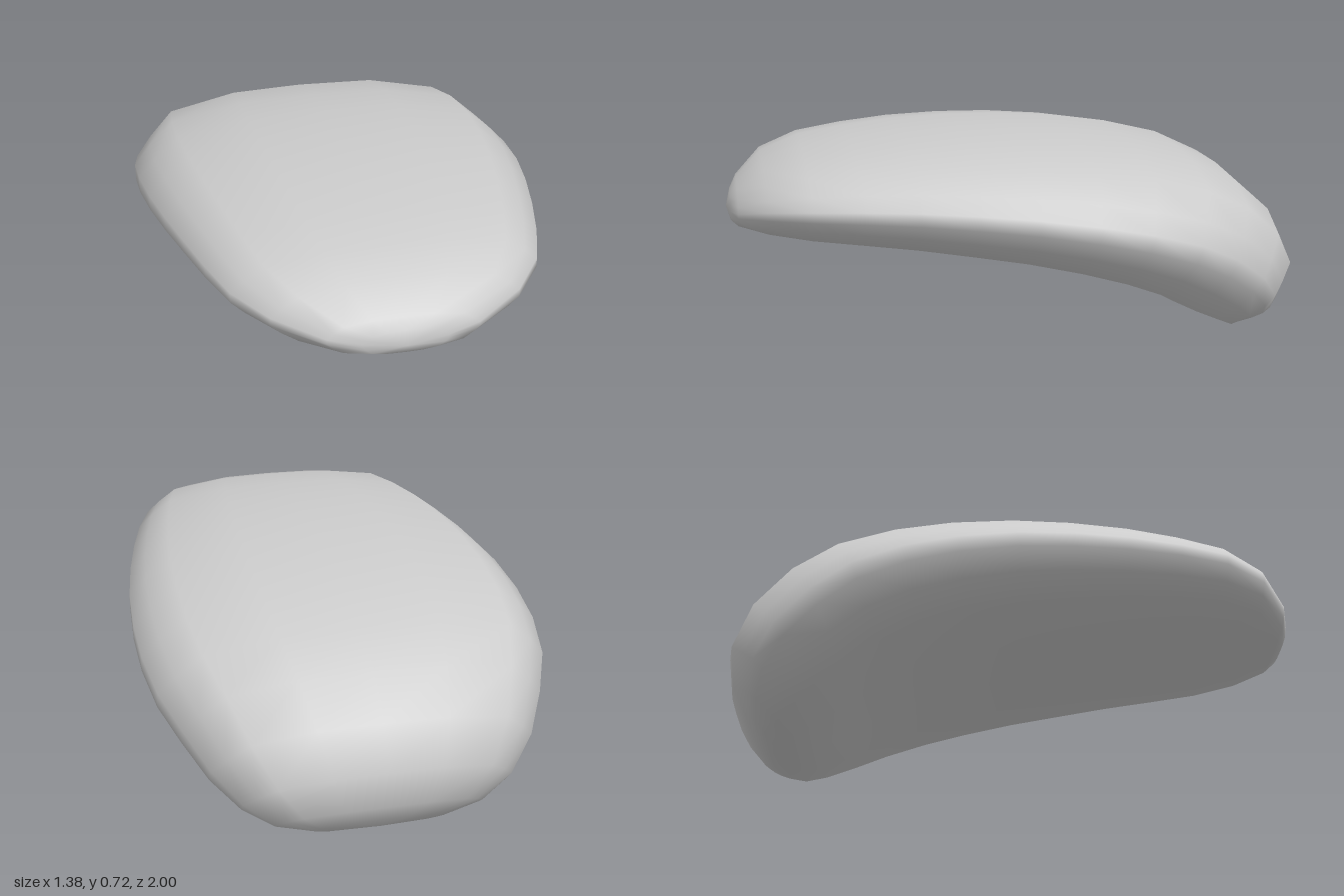
import * as THREE from 'three';

// Stations from nose to tail: half width, top edge (y, z), bottom edge (y, z)
const STATIONS = [
  [0.14, 0.515, 0.985, 0.435, 0.985],
  [0.25, 0.55, 0.96, 0.43, 0.96],
  [0.41, 0.63, 0.87, 0.42, 0.86],
  [0.515, 0.677, 0.73, 0.407, 0.72],
  [0.57, 0.70, 0.56, 0.392, 0.56],
  [0.615, 0.716, 0.38, 0.372, 0.38],
  [0.655, 0.721, 0.18, 0.345, 0.2],
  [0.685, 0.716, -0.02, 0.315, 0.02],
  [0.70, 0.70, -0.23, 0.272, -0.16],
  [0.698, 0.672, -0.43, 0.225, -0.31],
  [0.672, 0.625, -0.63, 0.165, -0.45],
  [0.615, 0.55, -0.79, 0.10, -0.56],
  [0.545, 0.43, -0.925, 0.045, -0.66],
  [0.455, 0.29, -0.998, 0.012, -0.73],
  [0.35, 0.16, -0.985, 0.004, -0.79],
  [0.22, 0.085, -0.935, 0.01, -0.85],
];

// Right half of the chamfered cross-section, bottom to top, in units of half size
const HALF = [
  [0, -1], [0.4, -0.97], [0.77, -0.8], [0.9, -0.45], [0.985, -0.13],
  [0.985, 0.13], [0.9, 0.42], [0.77, 0.77], [0.4, 0.97], [0, 1],
];
const SECTION = [...HALF, ...HALF.slice(1, -1).reverse().map(([x, k]) => [-x, k])];

function paddedShell() {
  const around = SECTION.length;
  const positions = [];
  const index = [];

  // Rings that tilt with the curve of the body
  for (const [width, topY, topZ, bottomY, bottomZ] of STATIONS) {
    for (const [x, k] of SECTION) {
      const t = (k + 1) / 2;
      positions.push(
        width * x,
        THREE.MathUtils.lerp(bottomY, topY, t),
        THREE.MathUtils.lerp(bottomZ, topZ, t)
      );
    }
  }
  for (let i = 0; i < STATIONS.length - 1; i++) {
    for (let j = 0; j < around; j++) {
      const a = i * around + j;
      const b = i * around + ((j + 1) % around);
      const c = a + around;
      const d = b + around;
      index.push(a, c, b, b, c, d);
    }
  }

  // Close the nose and the tail
  const nose = positions.length / 3;
  const last = (STATIONS.length - 1) * around;
  positions.push(0, 0.468, 1.0, 0, 0.04, -0.9);
  for (let j = 0; j < around; j++) {
    const n = (j + 1) % around;
    index.push(nose, j, n);
    index.push(nose + 1, last + n, last + j);
  }

  const geometry = new THREE.BufferGeometry();
  geometry.setAttribute('position', new THREE.Float32BufferAttribute(positions, 3));
  geometry.setIndex(index);
  geometry.computeVertexNormals();
  return geometry;
}

export function createModel() {
  const group = new THREE.Group();
  group.name = 'curvedPad';
  const pad = new THREE.Mesh(paddedShell(), new THREE.MeshStandardMaterial({ color: 0xcccccc }));
  pad.name = 'pad';
  group.add(pad);
  return group;
}
